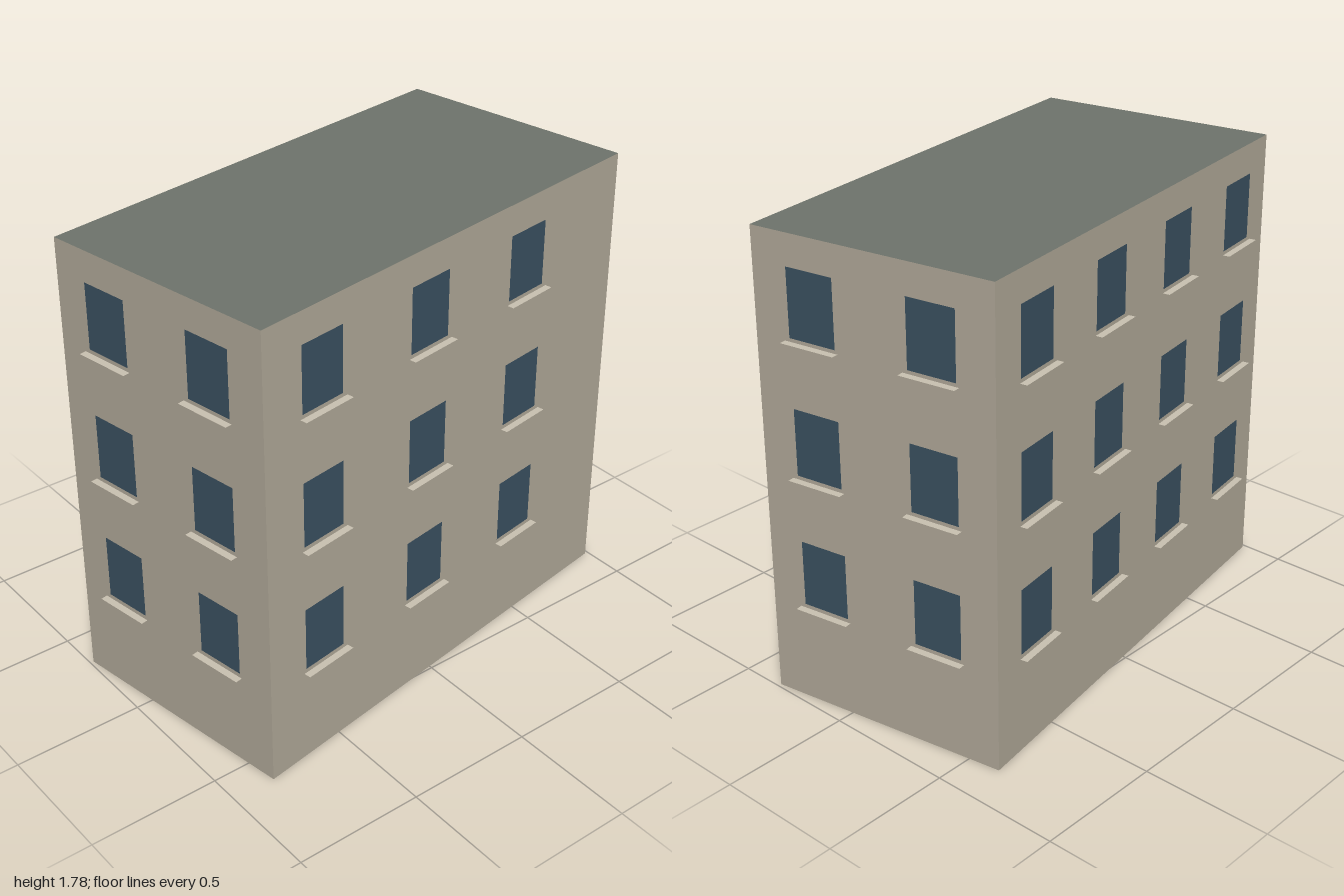
import * as THREE from 'three';

const W = 0.964, D = 1.843, H = 1.785;   // footprint and height
const FLOORS = 3, STOREY = 0.511, FIRST = 0.521;
const WIN_W = 0.19, WIN_H = 0.252;

const paint = (color, side = THREE.FrontSide) => new THREE.MeshStandardMaterial({ color, side });

export function createModel() {
  const wallMat = paint(0xb0a898);
  const roofMat = paint(0x6e736b);
  const baseMat = paint(0x555555);
  const glassMat = paint(0x3a5060);
  const sillMat = paint(0xc8c0b0, THREE.DoubleSide);

  const plane = (name, w, h, mat, x, y, z, rotX = 0) => {
    const mesh = new THREE.Mesh(new THREE.PlaneGeometry(w, h), mat);
    mesh.name = name;
    mesh.position.set(x, y, z);
    mesh.rotation.x = rotX;
    return mesh;
  };

  // One wall with a window and a thin sill at each column and floor;
  // columns are fractions of the width, from the left seen from outside
  const facade = (name, width, distance, turn, columns) => {
    const group = new THREE.Group();
    group.name = name;
    group.add(plane('wall', width, H, wallMat, 0, H / 2, distance));
    for (const c of columns) {
      const x = (c - 0.5) * width;
      for (let f = 0; f < FLOORS; f++) {
        const y = FIRST + f * STOREY;
        group.add(plane('window', WIN_W, WIN_H, glassMat, x, y, distance + 0.005));
        group.add(plane('windowSill', 0.22, 0.027, sillMat,
          x, y - WIN_H / 2 - 0.01, distance + 0.024, -Math.PI / 2));
      }
    }
    group.rotation.y = turn;
    return group;
  };

  const building = new THREE.Group();
  building.name = 'building';
  building.add(
    facade('frontFacade', W, D / 2, 0, [1 / 4, 3 / 4]),
    facade('backFacade', W, D / 2, Math.PI, [1 / 4, 3 / 4]),
    facade('leftFacade', D, W / 2, Math.PI / 2, [1 / 7, 3 / 7, 5 / 7]),
    facade('rightFacade', D, W / 2, -Math.PI / 2, [1 / 8, 3 / 8, 5 / 8, 7 / 8]),
    plane('roof', W, D, roofMat, 0, H, 0, -Math.PI / 2),
    plane('base', W, D, baseMat, 0, 0, 0, Math.PI / 2),
  );
  // The block stands at a slight angle
  building.rotation.y = THREE.MathUtils.degToRad(9.1);

  const model = new THREE.Group();
  model.name = 'apartmentBlock';
  model.add(building);
  return model;
}
